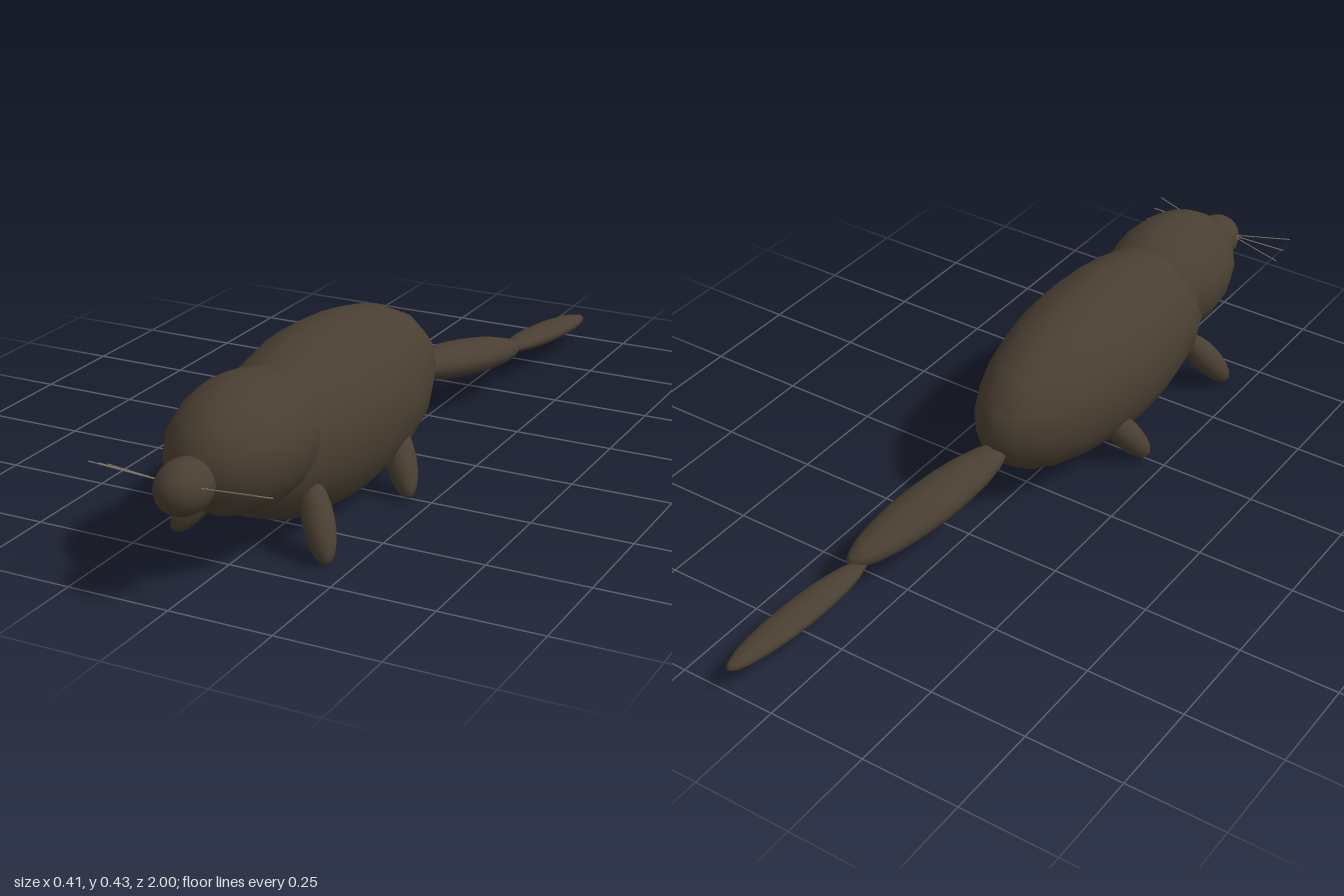
import * as THREE from 'three';

export function createModel() {
  const model = new THREE.Group();
  const fur = new THREE.MeshStandardMaterial({ color: 0x4a3f32 });
  fur.name = 'brown fur';
  const hair = new THREE.MeshStandardMaterial({ color: 0x888070 });
  hair.name = 'grey whisker';

  // Smooth ellipsoid whose local z axis can be aimed along a direction
  function ellipsoid(name, centre, radii, dir) {
    const geo = new THREE.SphereGeometry(1, 20, 10).scale(...radii);
    const mesh = new THREE.Mesh(geo, fur);
    mesh.name = name;
    mesh.position.set(...centre);
    if (dir) mesh.lookAt(new THREE.Vector3(...dir).add(mesh.position));
    model.add(mesh);
  }

  // Torso, head and snout
  ellipsoid('body', [0, 0.217, 0.31], [0.187, 0.215, 0.465]);
  ellipsoid('head', [0, 0.267, 0.67], [0.153, 0.153, 0.235]);
  ellipsoid('snout', [0, 0.252, 0.918], [0.062, 0.062, 0.08]);

  // Two flattened tail segments, bending to the left
  ellipsoid('tailBase', [0.046, 0.137, -0.345], [0.066, 0.045, 0.26], [0.19, -0.15, -0.97]);
  ellipsoid('tailTip', [0.098, 0.079, -0.778], [0.043, 0.025, 0.223], [0.11, -0.07, -1]);

  for (const side of [1, -1]) {
    const label = side > 0 ? 'left' : 'right';
    // Splayed legs
    for (const [name, z] of [['FrontLeg', 0.62], ['BackLeg', 0.215]]) {
      ellipsoid(label + name, [side * 0.151, 0.086, z], [0.037, 0.037, 0.102], [side * 0.5, -0.87, 0.5]);
    }
    // Three fanned whiskers
    for (const [y, z] of [[0.29, 0.97], [0.273, 0.935], [0.257, 0.9]]) {
      const start = new THREE.Vector3(side * 0.04, 0.265, 0.94);
      const end = new THREE.Vector3(side * 0.202, y, z);
      const whisker = new THREE.Mesh(
        new THREE.TubeGeometry(new THREE.LineCurve3(start, end), 1, 0.0015, 5), hair);
      whisker.name = label + 'Whisker';
      model.add(whisker);
    }
  }
  return model;
}
